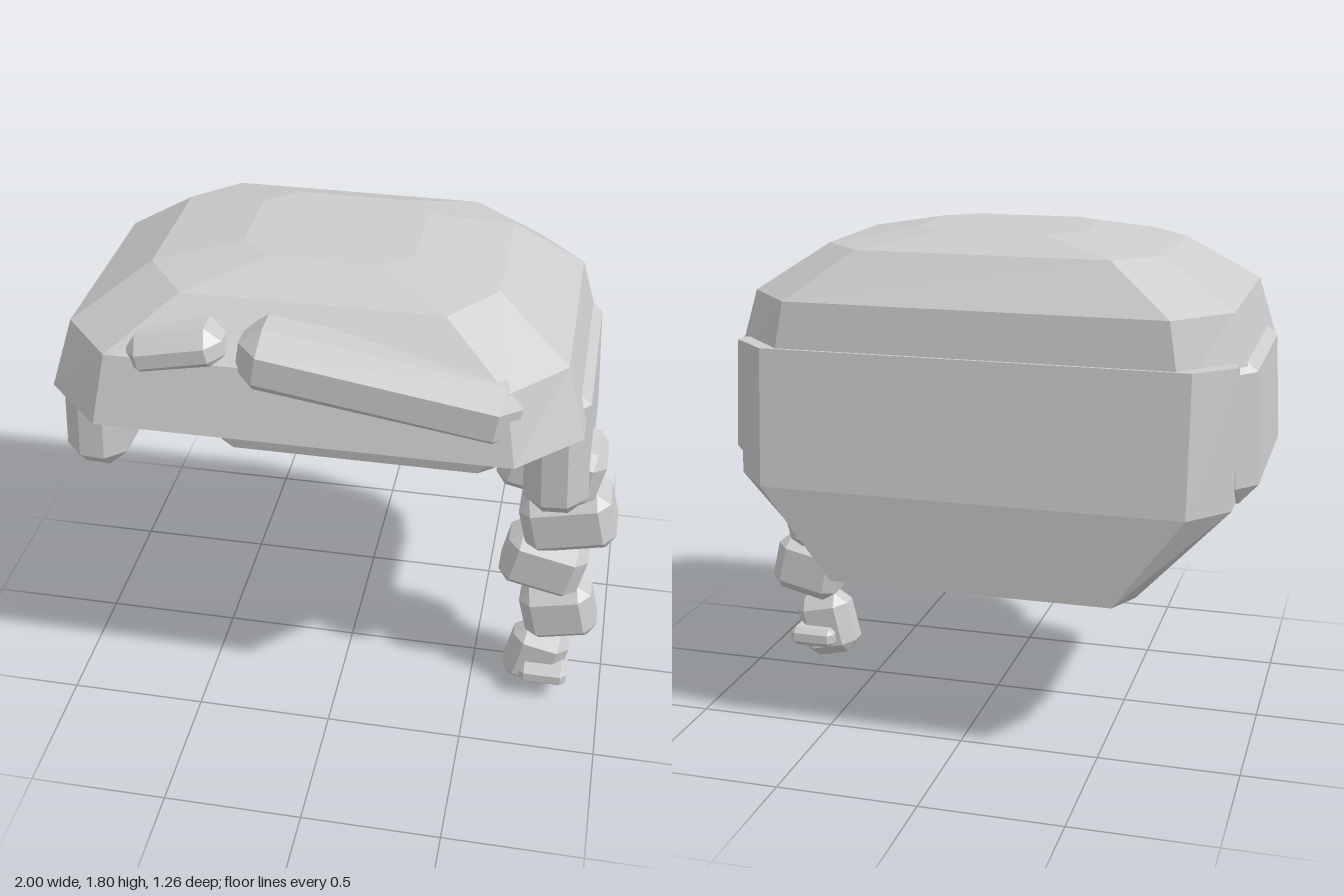
import * as THREE from 'three';
import { ConvexGeometry } from 'three/addons/geometries/ConvexGeometry.js';

const material = new THREE.MeshStandardMaterial({ color: 0xcccccc, flatShading: true });
const CENTRE = -0.06; // middle of the hair; the braid hangs out past its left side

function addMesh(parent, name, geometry, position = [0, 0, 0], tilt = 0) {
  const mesh = new THREE.Mesh(geometry, material);
  mesh.name = name;
  mesh.position.set(...position);
  mesh.rotation.z = THREE.MathUtils.degToRad(tilt);
  parent.add(mesh);
  return mesh;
}

// Box with chamfered edges and corners
function chamferBox(w, h, d, b) {
  const points = [];
  const [x, y, z] = [w / 2, h / 2, d / 2];
  for (const sx of [-1, 1]) for (const sy of [-1, 1]) for (const sz of [-1, 1]) {
    points.push(
      new THREE.Vector3(sx * x, sy * (y - b), sz * (z - b)),
      new THREE.Vector3(sx * (x - b), sy * y, sz * (z - b)),
      new THREE.Vector3(sx * (x - b), sy * (y - b), sz * z));
  }
  return new ConvexGeometry(points);
}

// Closed loft through octagons: [y, half width, front z, back z, corner cut in x, front cut, back cut]
function octagonLoft(sections) {
  const rings = sections.map(([y, hx, zf, zb, cx, cf, cb]) => [
    [-hx + cx, zf], [hx - cx, zf], [hx, zf - cf], [hx, zb + cb],
    [hx - cx, zb], [-hx + cx, zb], [-hx, zb + cb], [-hx, zf - cf],
  ].map(([x, z]) => [x + CENTRE, y, z]));
  const out = [];
  const tri = (a, b, c) => out.push(...a, ...b, ...c);
  for (let r = 0; r < rings.length - 1; r++) {
    for (let i = 0; i < 8; i++) {
      const j = (i + 1) % 8;
      tri(rings[r][i], rings[r][j], rings[r + 1][j]);
      tri(rings[r][i], rings[r + 1][j], rings[r + 1][i]);
    }
  }
  const bottom = rings[0], top = rings[rings.length - 1];
  for (let i = 1; i < 7; i++) {
    tri(top[0], top[i], top[i + 1]);
    tri(bottom[0], bottom[i + 1], bottom[i]);
  }
  const geometry = new THREE.BufferGeometry();
  geometry.setAttribute('position', new THREE.Float32BufferAttribute(out, 3));
  geometry.computeVertexNormals();
  return geometry;
}

export function createModel() {
  const group = new THREE.Group();
  group.name = 'hair';

  // Faceted crown
  addMesh(group, 'crown', octagonLoft([
    [1.34, 0.91, 0.63, -0.585, 0.21, 0.21, 0.21],
    [1.58, 0.84, 0.575, -0.565, 0.18, 0.2, 0.2],
    [1.745, 0.59, 0.41, -0.44, 0.15, 0.2, 0.15],
    [1.8, 0.295, 0.21, -0.29, 0.11, 0.09, 0.09],
  ]));

  // Back hair, narrowing at the nape
  addMesh(group, 'backHair', octagonLoft([
    [0.61, 0.56, -0.35, -0.61, 0.06, 0.05, 0.12],
    [0.94, 0.87, -0.28, -0.63, 0.13, 0.08, 0.15],
    [1.42, 0.87, -0.36, -0.59, 0.13, 0.06, 0.12],
  ]));

  // Side hair, flaring slightly towards the bottom
  for (const side of [-1, 1]) {
    addMesh(group, side > 0 ? 'leftSideHair' : 'rightSideHair',
      chamferBox(0.225, 0.52, 0.78, 0.068), [CENTRE + side * 0.82, 1.19, -0.04], side * 3);
  }

  // Swept fringe
  addMesh(group, 'longFringe', chamferBox(0.93, 0.24, 0.24, 0.07), [0.185, 1.545, 0.512], -9);
  addMesh(group, 'shortFringe', chamferBox(0.34, 0.15, 0.2, 0.05), [-0.485, 1.6, 0.5], 12);

  // Braid of alternately tilted blocks: [x, y, width, height, depth]
  const braid = new THREE.Group();
  braid.name = 'braid';
  group.add(braid);
  [
    [0.745, 1.055, 0.36, 0.23, 0.25],
    [0.82, 0.82, 0.33, 0.23, 0.23],
    [0.745, 0.605, 0.30, 0.23, 0.2],
    [0.815, 0.38, 0.27, 0.23, 0.175],
    [0.745, 0.138, 0.22, 0.25, 0.15],
  ].forEach(([x, y, w, h, d], i) => {
    addMesh(braid, `braidBlock${i + 1}`, chamferBox(w, h, d, 0.045), [x, y, 0.125], i % 2 ? 13 : -13);
  });
  addMesh(braid, 'hairTie', chamferBox(0.18, 0.075, 0.245, 0.02), [0.78, 0.108, 0.125]);

  return group;
}
